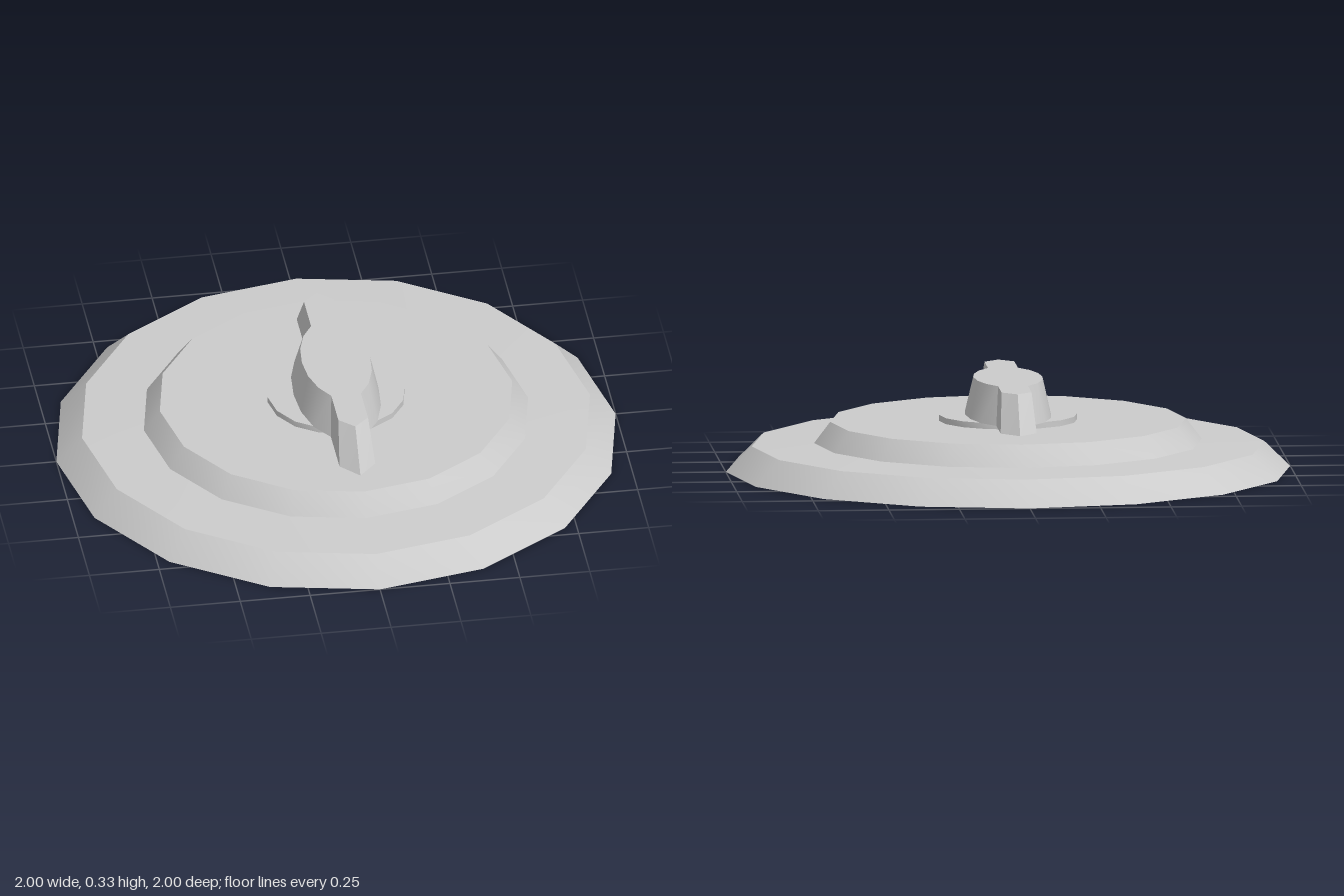
import * as THREE from 'three';
import { toCreasedNormals } from 'three/addons/utils/BufferGeometryUtils.js';

const material = new THREE.MeshStandardMaterial({ color: 0xcccccc });
const CREASE = 0.5;

function addPart(group, name, geometry) {
  const mesh = new THREE.Mesh(toCreasedNormals(geometry, CREASE), material);
  mesh.name = name;
  group.add(mesh);
}

// Sixteen-sided turned part from a [radius, height] profile
function turned(profile) {
  return new THREE.LatheGeometry(profile.map(([r, y]) => new THREE.Vector2(r, y)), 16);
}

// Mirror a quarter outline (side middle to tip) into a closed loop,
// counter-clockwise when seen from above; the second coordinate is -z
function fullOutline(quarter) {
  const back = quarter.slice(1, -1).reverse();
  const half = [...quarter, ...back.map(([x, d]) => [-x, d])];
  return [...half, ...half.map(([x, d]) => [-x, -d])].map(([x, d]) => new THREE.Vector2(x, d));
}

// Closed solid between two outlines with equal point counts
function loft(lower, y0, upper, y1) {
  const positions = [];
  const put = (p, y) => positions.push(p.x, y, -p.y);
  const n = lower.length;
  for (let i = 0; i < n; i++) {
    const j = (i + 1) % n;
    put(lower[i], y0); put(lower[j], y0); put(upper[j], y1);
    put(lower[i], y0); put(upper[j], y1); put(upper[i], y1);
  }
  for (const [a, b, c] of THREE.ShapeUtils.triangulateShape(upper, [])) {
    put(upper[a], y1); put(upper[b], y1); put(upper[c], y1);
  }
  for (const [a, b, c] of THREE.ShapeUtils.triangulateShape(lower, [])) {
    put(lower[a], y0); put(lower[c], y0); put(lower[b], y0);
  }
  const geometry = new THREE.BufferGeometry();
  geometry.setAttribute('position', new THREE.Float32BufferAttribute(positions, 3));
  return geometry;
}

export function createModel() {
  const group = new THREE.Group();
  group.name = 'lid';

  // Wide bevelled base with a raised, bevelled step
  addPart(group, 'steppedBase', turned([
    [0, 0], [1, 0], [0.908, 0.09], [0.687, 0.1], [0.63, 0.175], [0, 0.175],
  ]));

  // Small disc that carries the handle
  addPart(group, 'handleMount', turned([[0, 0.17], [0.245, 0.17], [0.245, 0.196], [0, 0.196]]));

  // Pointed grip bar with a bulging middle, tapering upwards
  const lower = fullOutline([
    [0.152, 0], [0.143, 0.115], [0.115, 0.215], [0.064, 0.29], [0.064, 0.485], [0, 0.555],
  ]);
  const upper = fullOutline([
    [0.122, 0], [0.114, 0.09], [0.09, 0.17], [0.053, 0.23], [0.053, 0.39], [0, 0.44],
  ]);
  addPart(group, 'handle', loft(lower, 0.195, upper, 0.328));

  return group;
}
